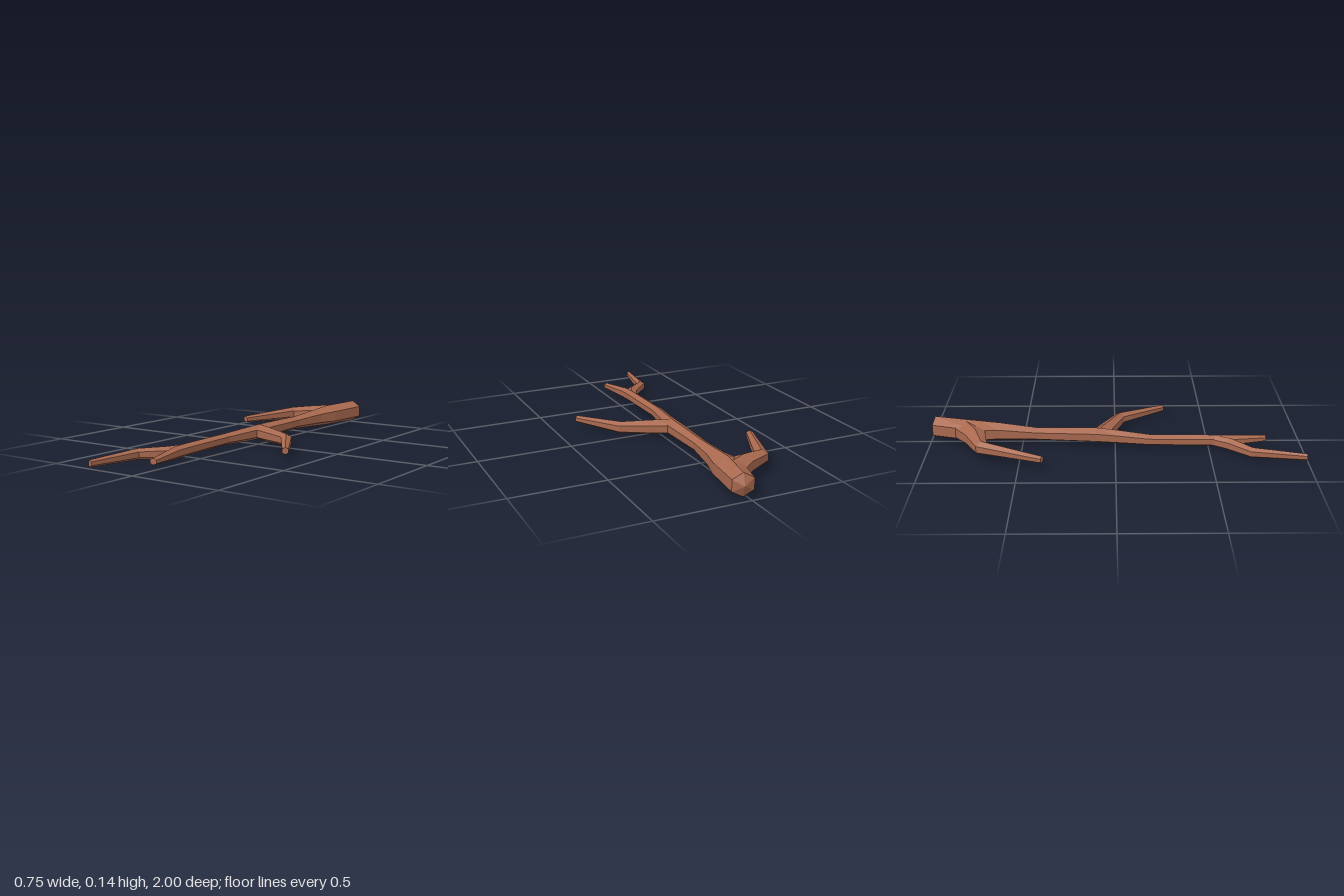
import * as THREE from 'three';

const SIDES = 6;

// Faceted limb lofted through stations [x, z, halfWidth, yBottom, yTop];
// rings stand upright, across the path. endBulge pushes out the start cap.
function limb(name, stations, material, endBulge = 0) {
  const centres = stations.map(([x, z, , lo, hi]) => new THREE.Vector3(x, (lo + hi) / 2, z));
  const up = new THREE.Vector3(0, 1, 0);
  const direction = (a, b) => b.clone().sub(a).setY(0).normalize();
  const last = centres.length - 1;

  const rings = stations.map(([, , halfWidth, lo, hi], i) => {
    const t = new THREE.Vector3();
    if (i > 0) t.add(direction(centres[i - 1], centres[i]));
    if (i < last) t.add(direction(centres[i], centres[i + 1]));
    const side = up.clone().cross(t.normalize());
    return Array.from({ length: SIDES }, (_, j) => {
      const a = ((j + 0.5) / SIDES) * Math.PI * 2;
      return centres[i].clone()
        .addScaledVector(side, (Math.cos(a) / Math.cos(Math.PI / 6)) * halfWidth)
        .addScaledVector(up, (Math.sin(a) * (hi - lo)) / 2);
    });
  });

  const positions = [];
  const tri = (...points) => points.forEach((p) => positions.push(p.x, p.y, p.z));
  const startTip = centres[0].clone().addScaledVector(direction(centres[0], centres[1]), -endBulge);
  for (let j = 0; j < SIDES; j++) {
    const k = (j + 1) % SIDES;
    for (let i = 0; i < last; i++) {
      tri(rings[i][j], rings[i][k], rings[i + 1][k]);
      tri(rings[i][j], rings[i + 1][k], rings[i + 1][j]);
    }
    tri(startTip, rings[0][k], rings[0][j]);
    tri(centres[last], rings[last][j], rings[last][k]);
  }
  const geometry = new THREE.BufferGeometry();
  geometry.setAttribute('position', new THREE.Float32BufferAttribute(positions, 3));
  geometry.computeVertexNormals();
  const mesh = new THREE.Mesh(geometry, material);
  mesh.name = name;
  return mesh;
}

export function createModel() {
  const bark = new THREE.MeshStandardMaterial({ color: 0xa9694f, flatShading: true });
  bark.name = 'bark';

  const group = new THREE.Group();
  group.name = 'fallenBranch';
  group.add(
    // Main stem, thick at the back and tapering forward
    limb('mainStem', [
      [0.035, -0.975, 0.055, 0.015, 0.135],
      [-0.01, -0.74, 0.07, 0.012, 0.128],
      [-0.017, -0.62, 0.045, 0.018, 0.118],
      [-0.037, -0.42, 0.034, 0.026, 0.098],
      [-0.043, -0.1, 0.042, 0.015, 0.098],
      [-0.06, 0.02, 0.034, 0.013, 0.09],
      [-0.085, 0.18, 0.03, 0.015, 0.077],
      [-0.083, 0.5, 0.028, 0.008, 0.072],
      [-0.08, 0.6, 0.026, 0.004, 0.069],
      [-0.038, 0.81, 0.018, 0.014, 0.049],
    ], bark, 0.025),
    // Side branch near the thick end
    limb('backBranch', [
      [0.0, -0.81, 0.07, 0.02, 0.125],
      [-0.1, -0.745, 0.055, 0.022, 0.12],
      [-0.23, -0.697, 0.036, 0.033, 0.105],
      [-0.356, -0.375, 0.018, 0.04, 0.078],
    ], bark),
    // Side branch in the middle
    limb('middleBranch', [
      [-0.045, -0.08, 0.06, 0.016, 0.095],
      [0.03, -0.05, 0.042, 0.01, 0.092],
      [0.203, 0.03, 0.03, 0.016, 0.082],
      [0.36, 0.275, 0.016, 0.025, 0.063],
    ], bark),
    // Side branch at the forked thin end
    limb('frontBranch', [
      [-0.083, 0.53, 0.027, 0.006, 0.07],
      [-0.12, 0.612, 0.031, 0.0, 0.068],
      [-0.225, 0.717, 0.025, 0.005, 0.062],
      [-0.27, 0.998, 0.012, 0.008, 0.045],
    ], bark),
  );
  return group;
}
